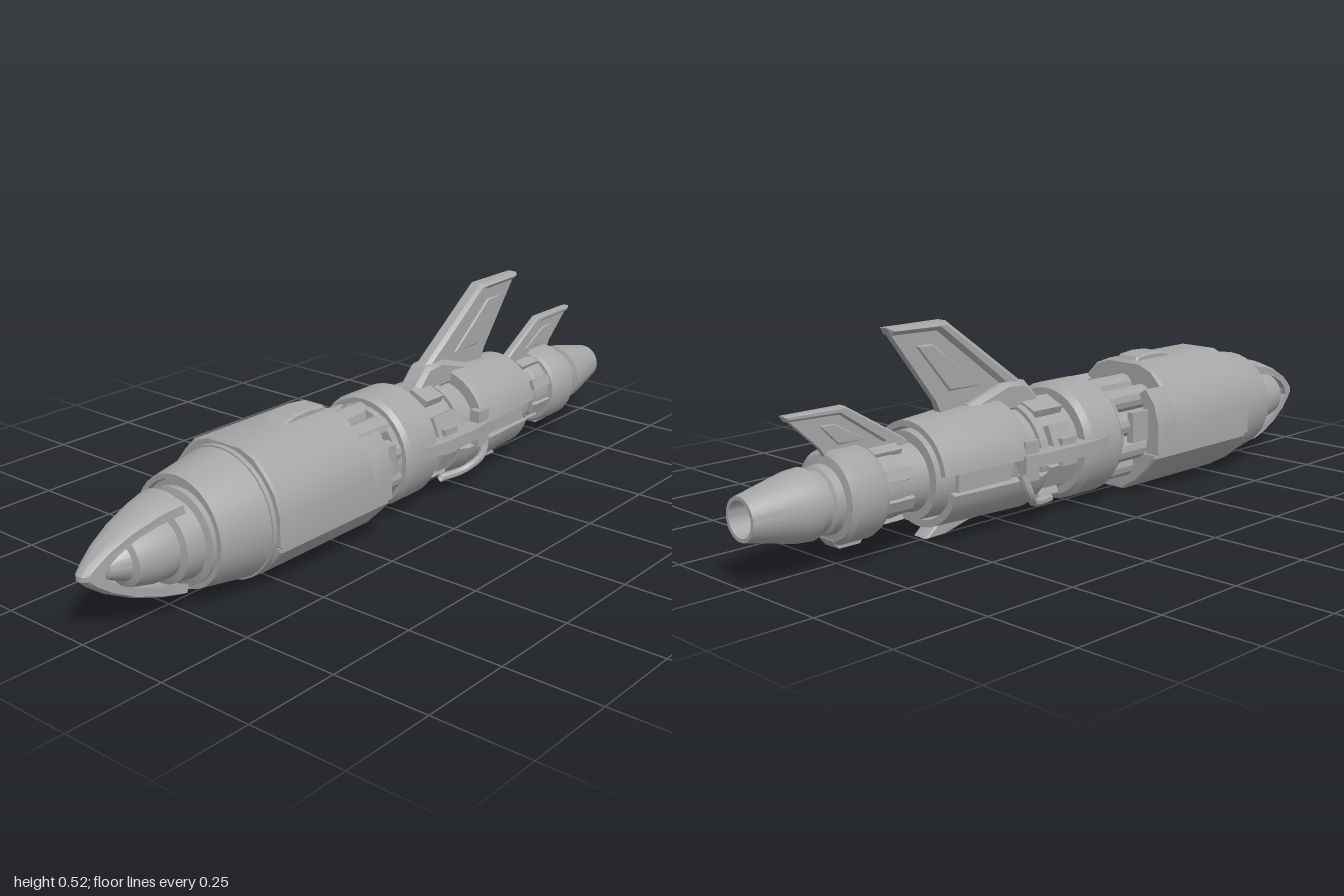
import * as THREE from 'three';
import { toCreasedNormals } from 'three/addons/utils/BufferGeometryUtils.js';

const AXIS = 0.16;

export function createModel() {
  const model = new THREE.Group();
  const hullGrey = new THREE.MeshStandardMaterial({ color: 0xa6a6a6, side: THREE.DoubleSide });

  const add = (name, geo, parent = model) => {
    const mesh = new THREE.Mesh(toCreasedNormals(geo, 0.5), hullGrey);
    mesh.name = name;
    parent.add(mesh);
    return mesh;
  };
  const group = (name) => {
    const g = new THREE.Group();
    g.name = name;
    model.add(g);
    return g;
  };
  const shapeOf = (pts) => new THREE.Shape(pts.map(([a, b]) => new THREE.Vector2(a, b)));
  const box = (name, size, pos, parent) =>
    add(name, new THREE.BoxGeometry(...size).translate(...pos), parent);

  // Body of revolution along z; points are [z, radius]
  const turned = (name, pts, y = AXIS, parent = model) => {
    const geo = new THREE.LatheGeometry(pts.map(([z, r]) => new THREE.Vector2(r, z)), 32);
    return add(name, geo.rotateX(Math.PI / 2).translate(0, y, 0), parent);
  };
  // Curved plate: closed [z, radius] outline swept around the axis, 0 = bottom, PI = top
  const shell = (name, pts, mid, half, y = AXIS) => {
    const g = group(name);
    const loop = [...pts, pts[0]].map(([z, r]) => new THREE.Vector2(r, z));
    const sweep = new THREE.LatheGeometry(loop, 20, mid - half, half * 2);
    add(name + 'Skin', sweep.rotateX(Math.PI / 2).translate(0, y, 0), g);
    for (const a of [mid - half, mid + half]) {
      const cap = new THREE.ShapeGeometry(shapeOf(pts.map(([z, r]) => [r, z])));
      add(name + 'Edge', cap.rotateY(a - Math.PI / 2).rotateX(Math.PI / 2).translate(0, y, 0), g);
    }
  };
  // Plate cut from a side outline of [z, y] points, centred on x
  const sidePlate = (name, pts, width, parent, x = 0, bevel = 0) => {
    const geo = new THREE.ExtrudeGeometry(shapeOf(pts.map(([z, y]) => [-z, y])), {
      depth: width - 2 * bevel, bevelEnabled: bevel > 0,
      bevelSize: bevel, bevelOffset: -bevel, bevelThickness: bevel, bevelSegments: 1,
    });
    return add(name, geo.translate(0, 0, bevel - width / 2).rotateY(Math.PI / 2).translate(x, 0, 0), parent);
  };
  // Cross-section of [x, y] points extruded from z0 to z1
  const section = (name, pts, z0, z1, parent, bevel = 0) => {
    const geo = new THREE.ExtrudeGeometry(shapeOf(pts), {
      depth: z1 - z0 - 2 * bevel, bevelEnabled: bevel > 0,
      bevelSize: bevel, bevelOffset: -bevel, bevelThickness: bevel, bevelSegments: 1,
    });
    return add(name, geo.translate(0, 0, z0 + bevel), parent);
  };
  const mirrored = (pts) => [...pts, ...pts.slice().reverse().map(([x, y]) => [-x, y])];

  // Nose: stepped inner cone inside a bowed two-petal guard
  turned('noseCone', [[0.7, 0.118], [0.715, 0.118], [0.72, 0.1], [0.77, 0.095], [0.775, 0.078],
    [0.82, 0.076], [0.88, 0.062], [0.885, 0.046], [0.93, 0.026], [0.945, 0]], 0.15);
  const upper = [[0.75, 0.125], [0.81, 0.112], [0.88, 0.086], [0.94, 0.055], [0.98, 0.026], [1, 0.006]];
  const inner = [[0.955, 0.01], [0.92, 0.04], [0.87, 0.068], [0.81, 0.088], [0.745, 0.099]];
  const flip = (pts) => pts.map(([z, v]) => [-z, -v]);
  const guard = new THREE.ExtrudeGeometry(shapeOf([
    ...upper.map(([z, v]) => [-z, v]), ...flip(upper.slice().reverse()),
    ...flip(inner.slice().reverse()), ...inner.map(([z, v]) => [-z, v]),
  ]), { depth: 2, steps: 8, bevelEnabled: false }).translate(0, 0, -1).rotateY(Math.PI / 2);
  const gp = guard.attributes.position;
  for (let i = 0; i < gp.count; i++) {
    const t = gp.getX(i), z = gp.getZ(i);
    gp.setX(i, t * THREE.MathUtils.mapLinear(z, 0.75, 1, 0.065, 0.022));
    gp.setY(i, 0.15 + gp.getY(i) * Math.sqrt(1 - 0.26 * t * t));
    gp.setZ(i, z - Math.max(0, z - 0.9) * 0.14 * t * t);
  }
  add('noseGuard', guard);

  // Forward hull
  turned('forwardHull', [[0.5, 0], [0.5, 0.163], [0.56, 0.163], [0.71, 0.138], [0.71, 0.125],
    [0.7, 0.122], [0.7, 0]]);
  turned('forwardHullLip', [[0.555, 0.15], [0.555, 0.166], [0.572, 0.165], [0.572, 0.15]]);

  // Angular armour around the middle hull
  const armour = group('hullArmour');
  section('upperArmour', mirrored([[0.18, 0.112], [0.181, 0.19], [0.165, 0.245], [0.135, 0.283],
    [0.1, 0.318], [0.055, 0.336]]), 0.23, 0.56, armour, 0.006);
  section('lowerArmour', mirrored([[0.055, 0], [0.105, 0.03], [0.145, 0.07], [0.172, 0.1], [0.172, 0.114]]),
    0.165, 0.555, armour, 0.005);
  for (const s of [-1, 1]) {
    section('sideArmour', [[0.18, 0.112], [0.181, 0.19], [0.165, 0.245], [0.135, 0.283], [0.115, 0.27],
      [0.14, 0.2], [0.14, 0.112]].map(([x, y]) => [s * x, y]), 0.165, 0.24, armour);
    box('sideLatch', [0.02, 0.08, 0.06], [s * 0.135, 0.19, 0.135], armour);
  }
  sidePlate('dorsalHump', [[0.24, 0.33], [0.25, 0.347], [0.3, 0.352], [0.35, 0.35], [0.41, 0.33]], 0.07, armour, 0, 0.005);

  // Exposed core with a ring of fuel tubes
  turned('core', [[-0.54, 0], [-0.54, 0.108], [-0.3, 0.115], [0.06, 0.118], [0.06, 0.1], [0.24, 0.1], [0.24, 0]]);
  const tubes = group('fuelTubes');
  for (let i = 0; i < 10; i++) {
    const a = (i / 10) * Math.PI * 2;
    add('fuelTube', new THREE.CylinderGeometry(0.032, 0.032, 0.17, 12).rotateX(Math.PI / 2)
      .translate(Math.sin(a) * 0.108, AXIS + Math.cos(a) * 0.108, 0.155), tubes);
  }
  turned('tubeCollar', [[0.06, 0.1], [0.06, 0.132], [0.085, 0.132], [0.085, 0.1]]);

  // Central ring
  turned('centralRing', [[-0.07, 0.11], [-0.07, 0.14], [-0.055, 0.153], [0.05, 0.153], [0.064, 0.144],
    [0.064, 0.11]], 0.163);

  // Equipment boxes behind the ring
  const gear = group('equipment');
  for (let i = 0; i < 8; i++) {
    const a = (i + 0.5) * Math.PI / 4;
    const m = box('equipmentBox', [0.06, 0.03, i % 2 ? 0.07 : 0.1], [0, 0.117, -0.14], gear);
    m.rotation.z = a;
    m.position.y = AXIS;
  }
  turned('equipmentBand', [[-0.21, 0.11], [-0.21, 0.126], [-0.19, 0.126], [-0.19, 0.11]], AXIS, gear);

  // Side rails and curved pipes
  for (const s of [-1, 1]) {
    const side = group(s > 0 ? 'leftRail' : 'rightRail');
    const rail = new THREE.ExtrudeGeometry(shapeOf([[s * 0.11, 0], [s * 0.152, 0.005], [s * 0.166, -0.08],
      [s * 0.166, -0.22], [s * 0.155, -0.295], [s * 0.11, -0.295]]), { depth: 0.032, bevelEnabled: false });
    add('rail', rail.rotateX(Math.PI / 2).scale(1, 1, 1).translate(0, 0.188, 0), side);
    box('railFoot', [0.03, 0.1, 0.045], [s * 0.132, 0.17, -0.265], side);
    box('railBracket', [0.025, 0.07, 0.05], [s * 0.128, 0.17, -0.13], side);
    const path = new THREE.CatmullRomCurve3([[0.135, 0.14, -0.29], [0.14, 0.09, -0.27], [0.115, 0.055, -0.23],
      [0.09, 0.045, -0.15]].map(([x, y, z]) => new THREE.Vector3(s * x, y, z)));
    add('curvedPipe', new THREE.TubeGeometry(path, 16, 0.011, 8), side);
    box('cowlSidePanel', [0.012, 0.05, 0.17], [s * 0.118, 0.155, -0.4], side);
  }

  // Rear cowl in two curved shells
  shell('upperCowl', [[-0.53, 0.115], [-0.53, 0.13], [-0.28, 0.15], [-0.265, 0.146], [-0.265, 0.115]], Math.PI, 1.45);
  shell('lowerCowl', [[-0.5, 0.115], [-0.5, 0.133], [-0.22, 0.141], [-0.19, 0.13], [-0.19, 0.115]], 0, 1.3);
  sidePlate('ventralKeel', [[-0.2, 0.04], [-0.2, 0.025], [-0.36, 0.02], [-0.44, 0], [-0.5, 0], [-0.44, 0.05]], 0.05, model, 0, 0.004);

  // Tail: neck, collar and hollow nozzle
  turned('tailNeck', [[-0.68, 0.088], [-0.62, 0.088], [-0.615, 0.082], [-0.56, 0.082], [-0.5, 0.092]], 0.158);
  const ribs = group('neckRibs');
  for (let i = 0; i < 8; i++) {
    const m = box('neckRib', [0.028, 0.012, 0.08], [0, 0.09, -0.63], ribs);
    m.rotation.z = (i + 0.5) * Math.PI / 4;
    m.position.y = 0.158;
  }
  turned('tailCollar', [[-0.78, 0.07], [-0.775, 0.1], [-0.765, 0.11], [-0.69, 0.11], [-0.672, 0.102],
    [-0.668, 0.07]], 0.152);
  turned('nozzle', [[-0.9, 0], [-0.9, 0.036], [-1, 0.042], [-1, 0.051], [-0.87, 0.081], [-0.835, 0.084],
    [-0.83, 0.072], [-0.805, 0.072], [-0.8, 0.08], [-0.77, 0.082]], 0.15);
  sidePlate('tailSkid', [[-0.68, 0.06], [-0.7, 0.036], [-0.76, 0.036], [-0.78, 0.06]], 0.05);

  // Main dorsal fin: thin blade, thick leading and top frame, root block
  const fin = group('mainFin');
  sidePlate('finBlade', [[-0.17, 0.29], [-0.18, 0.33], [-0.43, 0.508], [-0.59, 0.508], [-0.45, 0.325], [-0.43, 0.28]], 0.02, fin);
  sidePlate('finLeadingFrame', [[-0.14, 0.3], [-0.17, 0.335], [-0.42, 0.516], [-0.595, 0.516], [-0.585, 0.498],
    [-0.445, 0.495], [-0.235, 0.335], [-0.25, 0.3]], 0.046, fin, 0, 0.01);
  sidePlate('finPanel', [[-0.31, 0.345], [-0.46, 0.465], [-0.51, 0.465], [-0.41, 0.345]], 0.03, fin, 0, 0.004);
  sidePlate('finRoot', [[-0.11, 0.265], [-0.12, 0.29], [-0.17, 0.34], [-0.23, 0.345], [-0.36, 0.305], [-0.36, 0.27]], 0.066, fin, 0, 0.012);

  // Small tail fin
  const tailFin = group('tailFin');
  sidePlate('tailFinBlade', [[-0.52, 0.23], [-0.55, 0.255], [-0.72, 0.352], [-0.88, 0.352], [-0.79, 0.27], [-0.77, 0.24]], 0.014, tailFin);
  sidePlate('tailFinFrame', [[-0.53, 0.235], [-0.56, 0.262], [-0.72, 0.356], [-0.885, 0.356], [-0.875, 0.342],
    [-0.735, 0.338], [-0.61, 0.255], [-0.61, 0.235]], 0.026, tailFin, 0, 0.005);
  sidePlate('tailFinPanel', [[-0.66, 0.27], [-0.75, 0.32], [-0.79, 0.32], [-0.74, 0.27]], 0.02, tailFin, 0, 0.003);

  return model;
}
